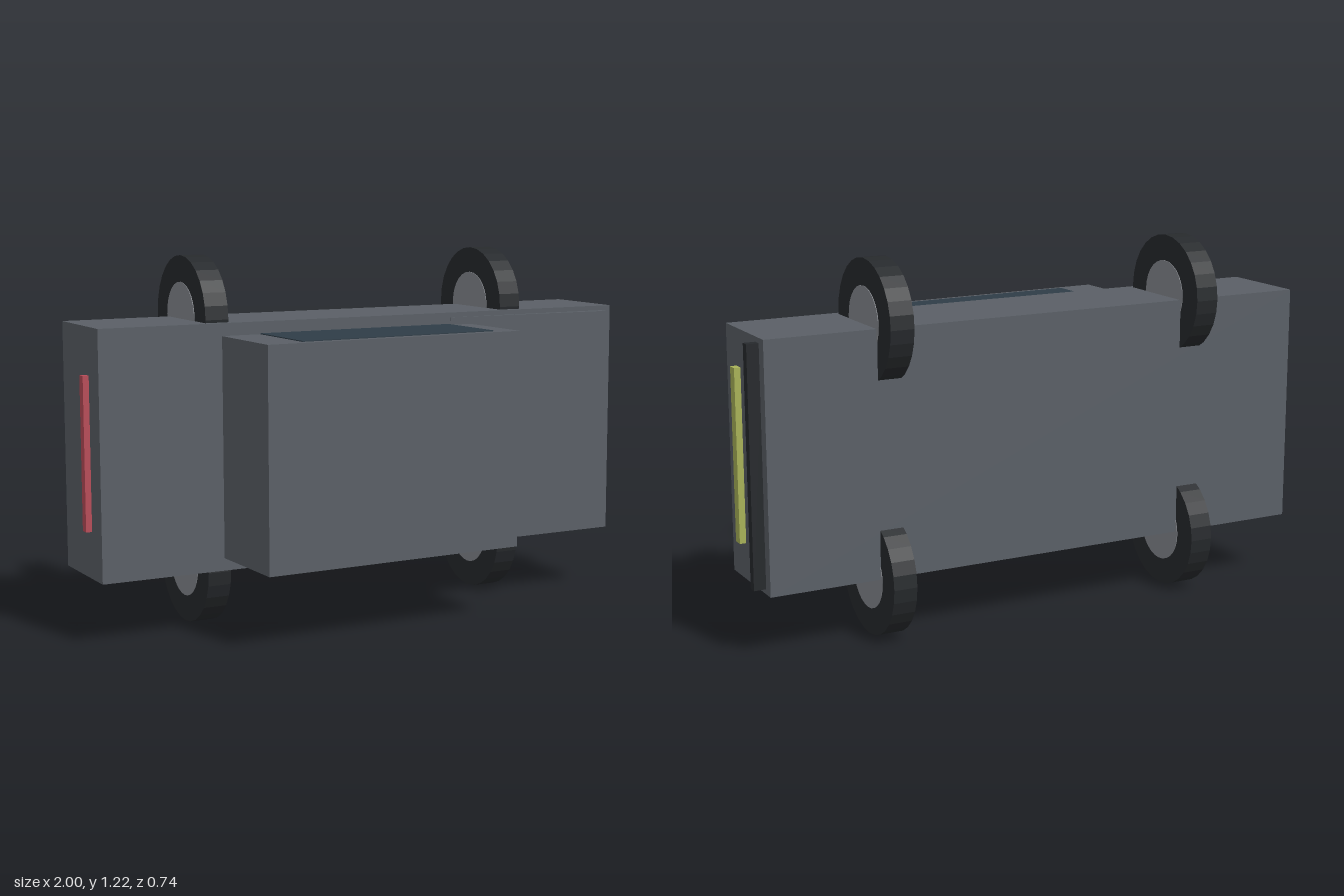
import * as THREE from 'three';

export function createModel() {
  const model = new THREE.Group();
  const mat = (color) => new THREE.MeshStandardMaterial({ color, flatShading: true });
  const paint = mat(0x5a5f66), rubber = mat(0x26292c), metal = mat(0x85888e);
  const glass = mat(0x2f3d47), yellow = mat(0xa8b258), red = mat(0xb84c58);
  const midY = 0.615;

  const add = (parent, name, geometry, material, x, y, z) => {
    const mesh = new THREE.Mesh(geometry, material);
    mesh.name = name;
    mesh.position.set(x, y, z);
    parent.add(mesh);
    return mesh;
  };
  const box = (parent, name, material, size, pos) =>
    add(parent, name, new THREE.BoxGeometry(...size), material, ...pos);

  // Main body slab
  box(model, 'body', paint, [1.94, 0.808, 0.32], [-0.01, midY, -0.112]);

  // Slightly tilted cabin with a window on each side
  const cabin = new THREE.Group();
  cabin.name = 'cabin';
  cabin.position.set(-0.091, midY, 0.19);
  cabin.rotation.y = 0.022;
  model.add(cabin);
  box(cabin, 'cabinShell', paint, [0.93, 0.725, 0.34], [0, 0, 0]);
  for (const side of [1, -1]) {
    box(cabin, 'sideWindow', glass, [0.71, 0.008, 0.3], [0.025, side * 0.3615, -0.009]);
  }

  // Sloping hood panel
  const hood = box(model, 'hood', paint, [0.63, 0.775, 0.06], [0.607, midY, 0.037]);
  hood.rotation.y = -0.05;

  // End trim
  box(model, 'bumper', rubber, [0.05, 0.775, 0.028], [0.975, midY, -0.221]);
  box(model, 'frontLight', yellow, [0.04, 0.566, 0.035], [0.961, midY, -0.053]);
  box(model, 'tailLight', red, [0.04, 0.5, 0.03], [-0.98, midY, -0.053]);

  // Four wheels with hubs showing on both faces
  const tyreGeo = new THREE.CylinderGeometry(0.199, 0.199, 0.08, 28).rotateZ(Math.PI / 2);
  const hubGeo = new THREE.CylinderGeometry(0.112, 0.112, 0.084, 28).rotateZ(Math.PI / 2);
  for (const x of [-0.567, 0.547]) {
    for (const side of [1, -1]) {
      const wheel = new THREE.Group();
      wheel.name = 'wheel';
      wheel.position.set(x, midY + side * 0.413, -0.172);
      add(wheel, 'tyre', tyreGeo, rubber, 0, 0, 0);
      add(wheel, 'hub', hubGeo, metal, 0, 0, 0);
      model.add(wheel);
    }
  }
  return model;
}
